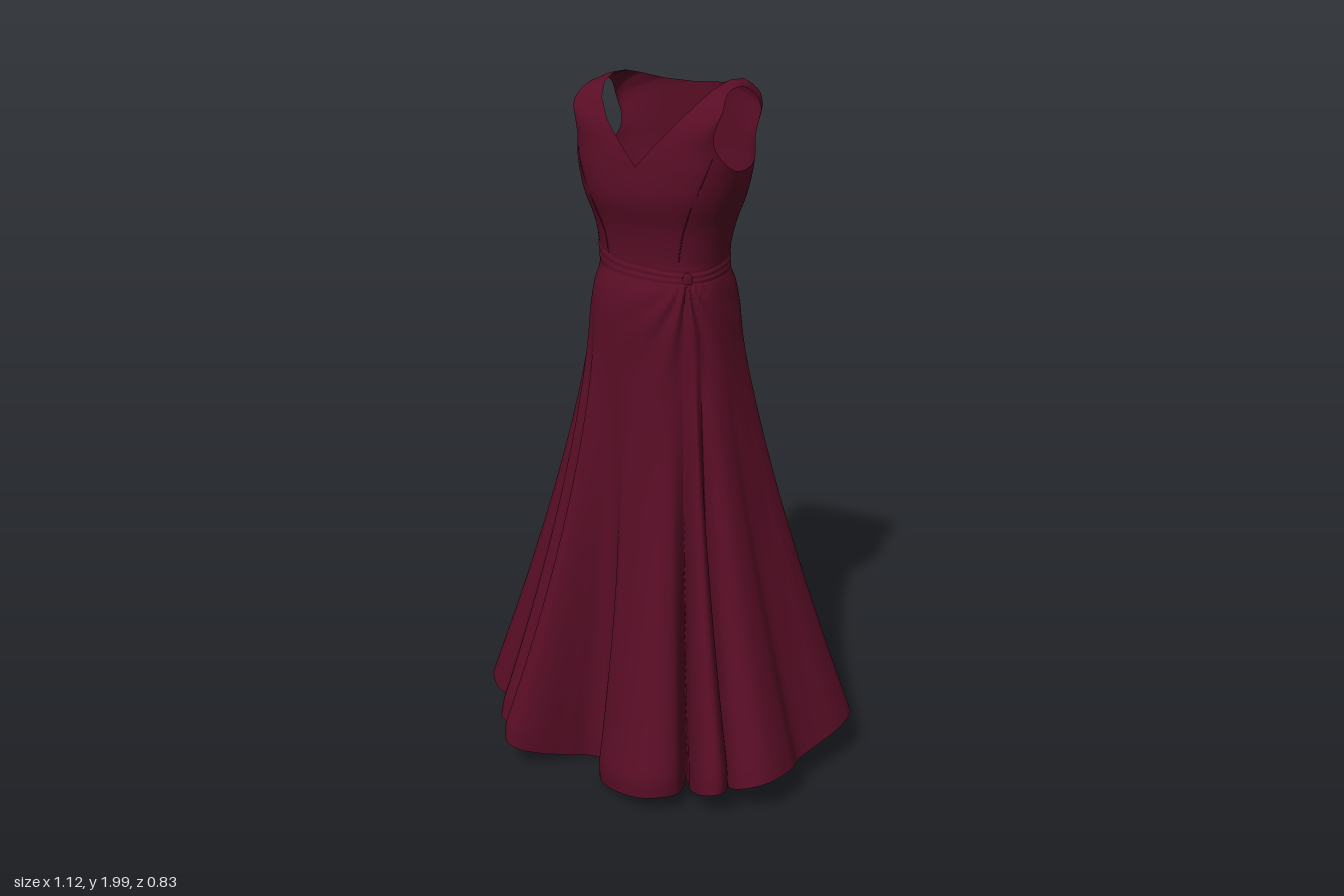
import * as THREE from 'three';
import { mergeGeometries, mergeVertices } from 'three/addons/utils/BufferGeometryUtils.js';

const burgundy = new THREE.MeshStandardMaterial({ color: 0x580d25, side: THREE.DoubleSide });
burgundy.name = 'burgundy cloth';

const { lerp, smoothstep, clamp } = THREE.MathUtils;
const CENTRE_Z = -0.035;
// Body profile: height, half width, front z, back z
const PROFILE = [
  [1.35, 0.205, 0.15, -0.21], [1.45, 0.193, 0.138, -0.19], [1.5, 0.18, 0.115, -0.158],
  [1.55, 0.182, 0.112, -0.152], [1.62, 0.195, 0.12, -0.175], [1.7, 0.222, 0.14, -0.195],
  [1.775, 0.234, 0.138, -0.2], [1.85, 0.234, 0.125, -0.2], [1.9, 0.229, 0.108, -0.2],
  [1.95, 0.22, 0.07, -0.2], [1.99, 0.205, 0.0, -0.19],
];

// Smooth lookup of one profile column at height y
function profile(y, col) {
  const P = PROFILE, n = P.length - 1;
  if (y <= P[0][0]) return P[0][col];
  if (y >= P[n][0]) return P[n][col];
  let i = 0;
  while (y > P[i + 1][0]) i++;
  const slope = (k) => {
    const a = P[Math.max(0, k - 1)], b = P[Math.min(n, k + 1)];
    return k === 0 ? 0 : (b[col] - a[col]) / (b[0] - a[0]);
  };
  const h = P[i + 1][0] - P[i][0], t = (y - P[i][0]) / h, t2 = t * t, t3 = t2 * t;
  return P[i][col] * (2 * t3 - 3 * t2 + 1) + slope(i) * h * (t3 - 2 * t2 + t)
    + P[i + 1][col] * (3 * t2 - 2 * t3) + slope(i + 1) * h * (t3 - t2);
}

const signedPow = (v, e) => (Math.abs(v) < 1e-9 ? 0 : Math.sign(v) * Math.pow(Math.abs(v), e));
// The body is rounder at the waist and boxier at the chest
const roundness = (y) => 0.8 - 0.2 * smoothstep(y, 1.65, 1.88);
const depthAt = (y, forward) => (forward ? profile(y, 2) - CENTRE_Z : CENTRE_Z - profile(y, 3));

// Point on the body at angle a (0 = front, growing towards +x), pushed out by d
function bodyPoint(a, y, d = 0) {
  const c = Math.cos(a), e = roundness(y);
  return new THREE.Vector3((profile(y, 1) + d) * signedPow(Math.sin(a), e), y,
    CENTRE_Z + (depthAt(y, c > 0) + d) * signedPow(c, e));
}

// Surface from a rule at(i, j); optionally closed around i
function grid(nu, nv, at, closed = false, flip = false) {
  const pos = [], idx = [], cols = closed ? nu : nu + 1;
  for (let j = 0; j <= nv; j++)
    for (let i = 0; i < cols; i++) pos.push(...at(i, j).toArray());
  for (let j = 0; j < nv; j++)
    for (let i = 0; i < nu; i++) {
      const a = j * cols + i, b = j * cols + (i + 1) % cols, c = a + cols, d = b + cols;
      if (flip) idx.push(a, d, b, a, c, d);
      else idx.push(a, b, d, a, d, c);
    }
  const g = new THREE.BufferGeometry();
  g.setAttribute('position', new THREE.Float32BufferAttribute(pos, 3));
  g.setIndex(idx);
  g.computeVertexNormals();
  return g;
}

function part(name, geometry) {
  const m = new THREE.Mesh(geometry, burgundy);
  m.name = name;
  return m;
}

const KNOT_ANGLE = 0.72, KNOT_Y = 1.49;

// Hem seen from above, x and z
const HEM = [
  [0.5, -0.21], [0.55, -0.19], [0.555, -0.1], [0.52, 0], [0.5, 0.08], [0.51, 0.15], [0.48, 0.26],
  [0.41, 0.29], [0.35, 0.25], [0.3, 0.19], [0.37, 0.27], [0.38, 0.34], [0.34, 0.355], [0.27, 0.31],
  [0.21, 0.22], [0.25, 0.36], [0.2, 0.42], [0.14, 0.43], [0.03, 0.39], [-0.03, 0.33], [-0.02, 0.25],
  [-0.07, 0.22], [-0.12, 0.23], [-0.17, 0.29], [-0.24, 0.38], [-0.29, 0.41], [-0.335, 0.38],
  [-0.3, 0.31], [-0.25, 0.21], [-0.34, 0.295], [-0.41, 0.28], [-0.4, 0.24], [-0.35, 0.17], [-0.29, 0.09],
  [-0.4, 0.12], [-0.47, 0.17], [-0.53, 0.13], [-0.56, 0.04], [-0.55, -0.1], [-0.52, -0.13],
  [-0.42, -0.125], [-0.3, -0.1], [-0.39, -0.16], [-0.43, -0.2], [-0.39, -0.27], [-0.35, -0.29],
  [-0.3, -0.27], [-0.24, -0.225], [-0.16, -0.205], [-0.08, -0.225], [-0.055, -0.28], [-0.08, -0.36],
  [-0.06, -0.415], [-0.02, -0.43], [0.02, -0.4], [0.04, -0.34], [0.03, -0.25], [0.07, -0.235],
  [0.095, -0.3], [0.06, -0.38], [0.09, -0.43], [0.15, -0.43], [0.22, -0.4], [0.22, -0.36],
  [0.17, -0.24], [0.25, -0.35], [0.32, -0.35], [0.365, -0.29], [0.36, -0.2], [0.28, -0.13], [0.4, -0.18],
];

function skirtGeometry() {
  const N = 480, ROWS = 72, SPREAD = 22;
  const curve = new THREE.CatmullRomCurve3(HEM.map(([x, z]) => new THREE.Vector3(x, 0, z)), true, 'centripetal');
  curve.arcLengthDivisions = 2000;
  const hem = curve.getSpacedPoints(N).slice(0, N);
  // Angle of each hem point, unwrapped and then evened out for the waist
  const raw = [];
  hem.forEach((p, i) => {
    let a = Math.atan2(p.x, p.z + 0.02);
    if (i) a -= Math.PI * 2 * Math.round((a - raw[i - 1]) / (Math.PI * 2));
    raw.push(a);
    // Outward folds lift the hem, most at the sides
    const r = Math.hypot(p.x, p.z);
    p.y = 0.008 + 0.13 * Math.pow(Math.max(0, (r - 0.22) / 0.34), 1.3) * (0.55 + 0.45 * Math.abs(p.x) / r);
  });
  const angleAt = (i) => raw[(i + N) % N] - Math.PI * 2 * Math.floor(i / N);
  const angles = hem.map((_, i) => {
    let sum = 0;
    for (let k = -SPREAD; k <= SPREAD; k++) sum += angleAt(i + k);
    return sum / (2 * SPREAD + 1);
  });
  return grid(N, ROWS, (i, j) => {
    const h = hem[i], a = angles[i];
    const y = lerp(1.525, h.y, j / ROWS);
    // Pleats fanning out from the knot
    const da = Math.atan2(Math.sin(a - KNOT_ANGLE), Math.cos(a - KNOT_ANGLE));
    const drop = Math.max(0, KNOT_Y - y);
    const fan = Math.atan2(da * 0.2, drop + 0.02);
    const pleat = Math.sin(fan * 16) * 0.008 * Math.exp(-da * da * 2.5)
      * Math.min(1, drop / 0.05) * Math.exp(-drop * 1.7);
    const p = bodyPoint(a, y, pleat);
    // Flare towards the hem, with a slight inward curl at front and back
    const s = Math.max(0, (1.4 - y) / (1.4 - h.y)), c = Math.cos(a);
    const w = Math.pow(s, 1.3 + (c > 0 ? 0.45 : 0.15) * c * c) - 0.08 * c * c * Math.max(0, (s - 0.96) / 0.04);
    p.x += (h.x - p.x) * w;
    p.z += (h.z - p.z) * w;
    return p;
  }, true);
}

// Neck edge point (x, y, z) and armhole angle in degrees, from front to back
const SHOULDER = [
  [0, 1.775, 0.138, -90], [0, 1.79, 0.138, -60], [0.045, 1.84, 0.128, -20], [0.1, 1.9, 0.105, 15],
  [0.14, 1.95, 0.065, 45], [0.163, 1.984, 0.01, 75], [0.174, 2.0, -0.06, 95], [0.179, 1.997, -0.13, 120],
  [0.163, 1.986, -0.18, 150], [0.09, 1.973, -0.196, 175], [0, 1.969, -0.2, 200], [0, 1.87, -0.2, 235],
  [0, 1.775, -0.2, 270],
];

// Half of the chest from neckline to armhole: on the body low down, a strap higher up
function shoulderPoint(u, k, t) {
  const mix = (c) => lerp(SHOULDER[k][c], SHOULDER[k + 1][c], t);
  const [nx, ny, nz] = [mix(0), mix(1), mix(2)], phi = mix(3) * Math.PI / 180;
  const oy = 1.88 + 0.105 * Math.sin(phi), oz = CENTRE_Z + 0.125 * signedPow(Math.cos(phi), 0.8);
  const y = lerp(ny, oy, u);
  const neck = Math.asin(clamp(Math.pow(nx / profile(ny, 1), 1 / roundness(ny)), 0, 1));
  const arm = Math.acos(clamp(signedPow((oz - CENTRE_Z) / depthAt(oy, oz > CENTRE_Z), 1 / roundness(oy)), -1, 1));
  const onBody = bodyPoint(lerp(k < 6 ? neck : Math.PI - neck, arm, u), y);
  const a = u * Math.PI / 2;
  const strap = new THREE.Vector3(lerp(nx, profile(oy, 1), signedPow(Math.sin(a), 0.8)), y,
    lerp(oz, nz, signedPow(Math.cos(a), 0.8)));
  return onBody.lerp(strap, smoothstep(y, 1.82, 1.95));
}

function bodiceGeometry() {
  const M = 20, STEPS = 5;
  const pieces = [grid(M * 4, 20, (i, j) =>
    bodyPoint(i / M * Math.PI / 2, lerp(1.5, 1.775, j / 20)), true)];
  for (const side of [1, -1]) {
    pieces.push(grid(M, (SHOULDER.length - 1) * STEPS, (i, j) => {
      const k = Math.min(Math.floor(j / STEPS), SHOULDER.length - 2);
      const p = shoulderPoint(i / M, k, j / STEPS - k);
      p.x *= side;
      return p;
    }, false, side < 0));
  }
  pieces.forEach((g) => g.deleteAttribute('normal'));
  const g = mergeVertices(mergeGeometries(pieces), 1e-4);
  g.computeVertexNormals();
  return g;
}

// Wrapped band, narrow at the knot and wide behind
function waistbandGeometry() {
  return grid(160, 24, (i, j) => {
    const a = i / 160 * Math.PI * 2, v = j / 24;
    const away = 0.5 - 0.5 * Math.cos(a - KNOT_ANGLE);
    const low = KNOT_Y - 0.016 + 0.03 * away, high = KNOT_Y + 0.025 + 0.1 * away;
    const puff = Math.sin(v * Math.PI) * 0.003 + 0.0012 * Math.cos(v * Math.PI * 6) * (1 - 0.7 * away);
    return bodyPoint(a, lerp(low, high, v), puff);
  }, true);
}

export function createModel() {
  const dress = new THREE.Group();
  dress.name = 'dress';
  dress.add(part('skirt', skirtGeometry()), part('bodice', bodiceGeometry()), part('waistband', waistbandGeometry()));

  // Gathered knot on the left of the waist
  const knot = part('knot', new THREE.SphereGeometry(1, 20, 14));
  knot.scale.set(0.014, 0.02, 0.006);
  knot.position.copy(bodyPoint(KNOT_ANGLE, KNOT_Y, 0.001));
  knot.rotation.y = 0.5;
  dress.add(knot);

  // Curved seams from armhole to waist
  for (const side of [1, -1]) {
    const pts = [[0.9, 1.82], [0.78, 1.76], [0.66, 1.68], [0.58, 1.6], [0.55, 1.54]]
      .map(([a, y]) => bodyPoint(side * a, y));
    dress.add(part(side > 0 ? 'leftSeam' : 'rightSeam',
      new THREE.TubeGeometry(new THREE.CatmullRomCurve3(pts), 24, 0.0015, 6)));
  }
  return dress;
}
